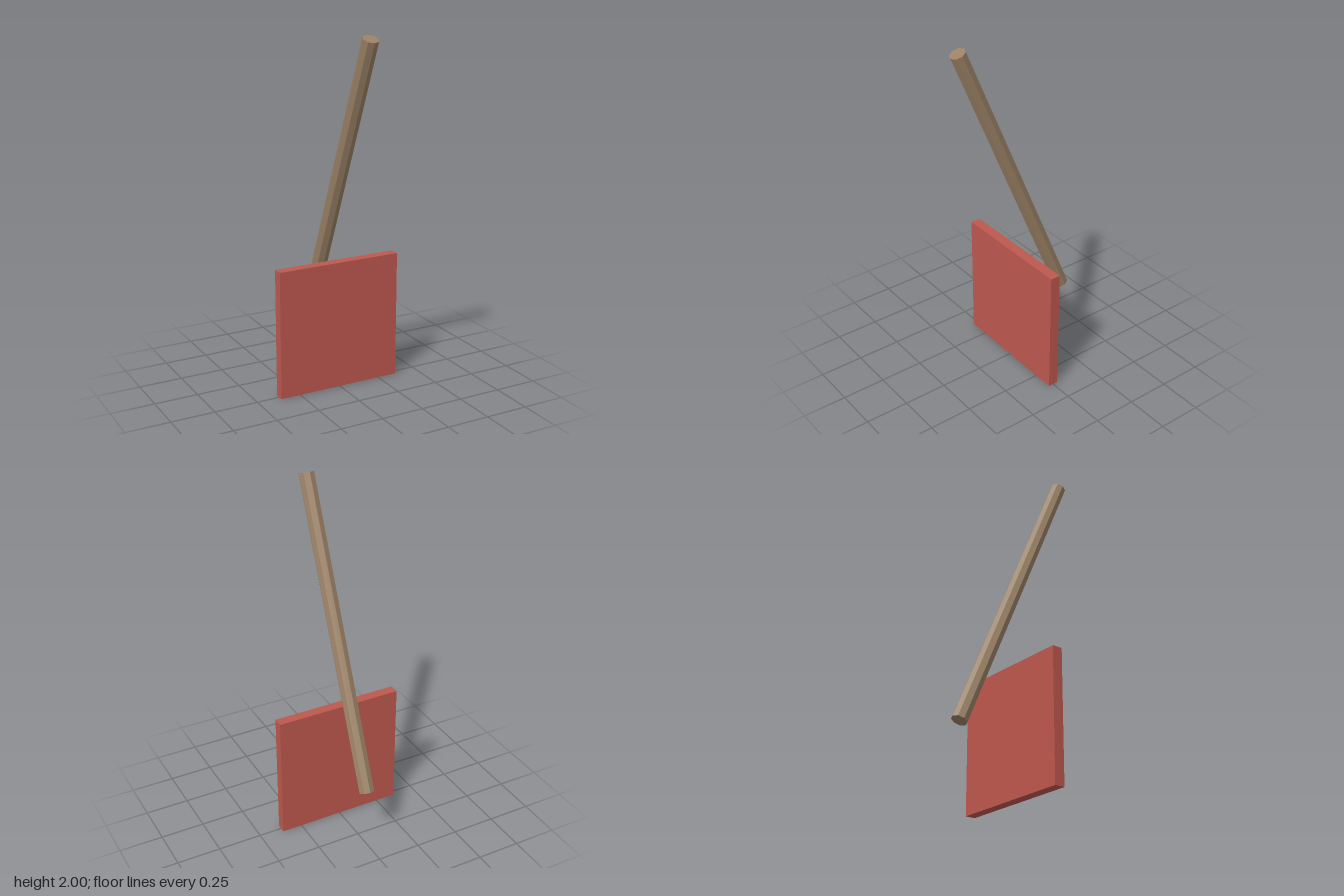
import * as THREE from 'three';

export function createModel() {
  const model = new THREE.Group();
  const red = new THREE.MeshStandardMaterial({ color: 0xbe584e });
  red.name = 'red';
  const wood = new THREE.MeshStandardMaterial({ color: 0x9c8266, flatShading: true });
  wood.name = 'wood brown';

  const s = 0.733; // side of the square panel

  // upright square panel standing on the ground
  const panel = new THREE.Mesh(new THREE.BoxGeometry(s, s, 0.08 * s), red);
  panel.name = 'panel';
  panel.position.y = s / 2;

  // eight-sided pole, its top leaning forward over the panel
  const pole = new THREE.Mesh(new THREE.CylinderGeometry(0.06 * s, 0.06 * s, 2.4 * s, 8), wood);
  pole.name = 'pole';
  pole.position.y = 1.6 * s;
  pole.rotation.x = 0.4;

  model.add(panel, pole);
  return model;
}
